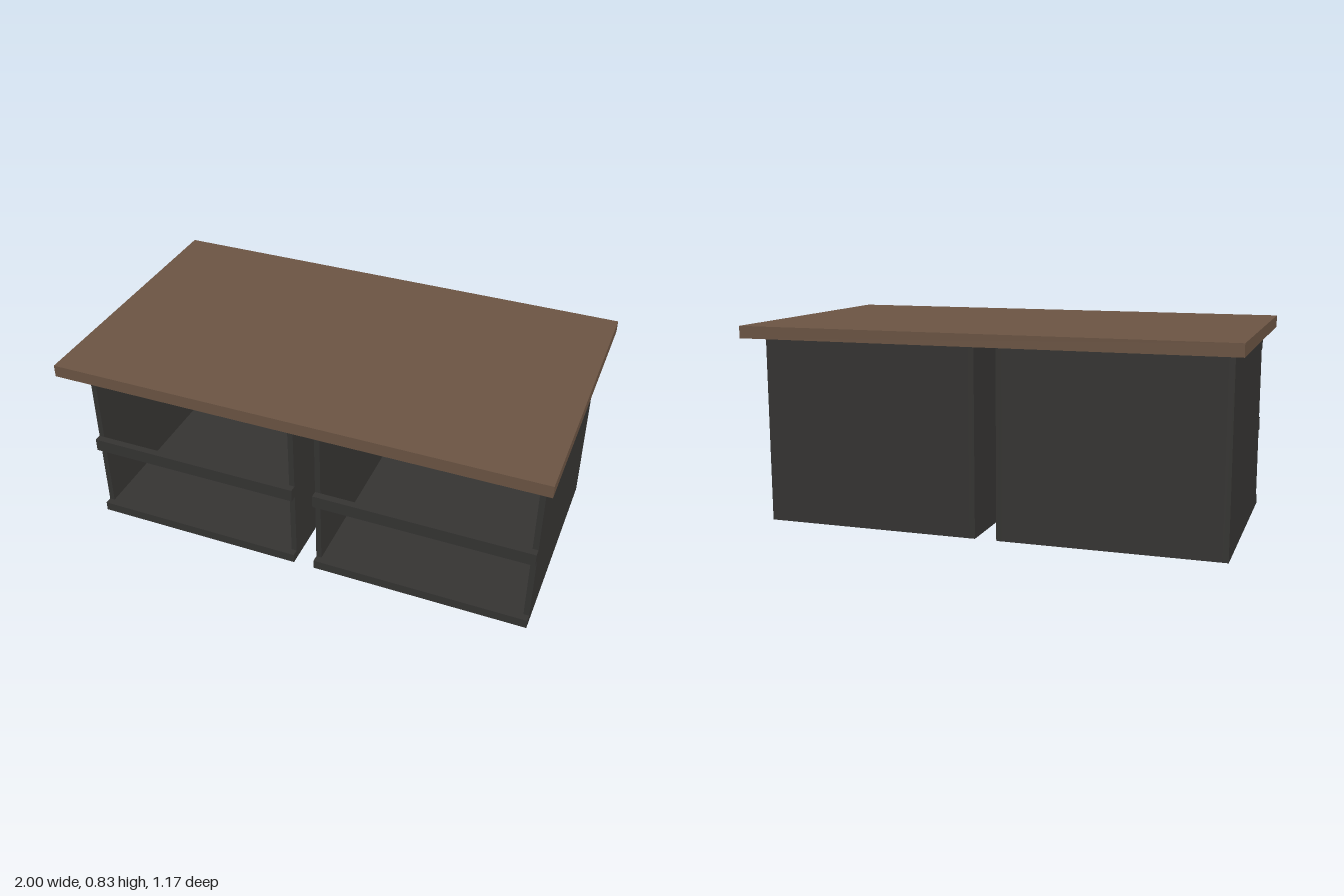
import * as THREE from 'three';

const wood = new THREE.MeshStandardMaterial({ color: 0x6b5443 });
const dark = new THREE.MeshStandardMaterial({ color: 0x353432 });

// Box given by its low and high corners
function box(name, material, [x0, y0, z0], [x1, y1, z1]) {
  const mesh = new THREE.Mesh(new THREE.BoxGeometry(x1 - x0, y1 - y0, z1 - z0), material);
  mesh.position.set((x0 + x1) / 2, (y0 + y1) / 2, (z0 + z1) / 2);
  mesh.name = name;
  return mesh;
}

// Open-fronted cabinet centred on its own x = 0
function createCabinet(name) {
  const half = 0.455, wall = 0.023, height = 0.78;
  const back = -0.46, front = 0.43, lip = 0.46;
  const inner = half - wall;
  const cabinet = new THREE.Group();
  cabinet.name = name;

  // Carcass panels
  cabinet.add(
    box('rightPanel', dark, [-half, 0, back], [-inner, height, front]),
    box('leftPanel', dark, [inner, 0, back], [half, height, front]),
    box('backPanel', dark, [-inner, 0, back], [inner, height, back + 0.03]),
    box('floorPanel', dark, [-inner, 0, back + 0.03], [inner, 0.04, front]),
    box('ceilingPanel', dark, [-inner, height - 0.04, back + 0.03], [inner, height, front])
  );

  // Projecting rails across the front
  const rails = { bottomRail: [0, 0.04], middleRail: [0.335, 0.39], topRail: [0.695, height] };
  for (const [railName, [y0, y1]] of Object.entries(rails)) {
    cabinet.add(box(railName, dark, [-half, y0, front], [half, y1, lip]));
  }
  return cabinet;
}

export function createModel() {
  const model = new THREE.Group();
  model.name = 'doubleCabinetTable';

  // Two cabinets with a gap between them
  for (const side of [-1, 1]) {
    const cabinet = createCabinet(side < 0 ? 'rightCabinet' : 'leftCabinet');
    cabinet.position.x = side * 0.5;
    model.add(cabinet);
  }

  // Overhanging wooden top
  model.add(box('tableTop', wood, [-1, 0.78, -0.583], [1, 0.83, 0.583]));
  return model;
}
